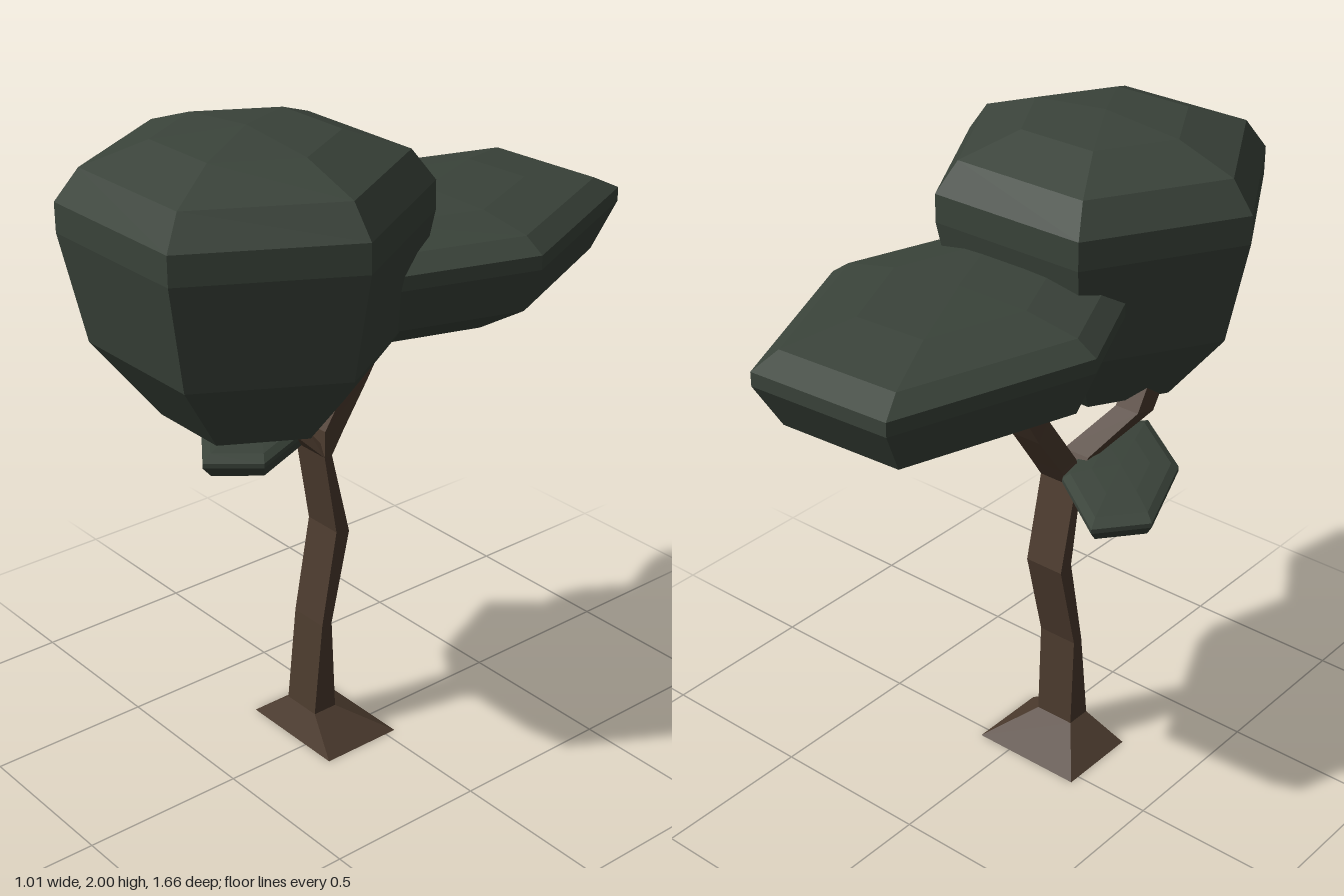
import * as THREE from 'three';

const bark = new THREE.MeshStandardMaterial({ color: 0x4c3b2e, flatShading: true });
const leaf = new THREE.MeshStandardMaterial({ color: 0x3a433a, flatShading: true });

// Four-sided limb; each ring is [xMin, xMax, zFront, yFront, zBack, yBack]
function limb(name, rings) {
  const pos = [];
  const corners = rings.map(([x0, x1, zf, yf, zb, yb]) => [
    [x0, yf, zf], [x1, yf, zf], [x1, yb, zb], [x0, yb, zb],
  ]);
  const quad = (a, b, c, d) => [a, b, c, a, c, d].forEach((p) => pos.push(...p));
  for (let i = 0; i < corners.length - 1; i++) {
    const lo = corners[i], hi = corners[i + 1];
    for (let k = 0; k < 4; k++) {
      const n = (k + 1) % 4;
      quad(lo[k], lo[n], hi[n], hi[k]);
    }
  }
  const [a, b, c, d] = corners[0];
  quad(d, c, b, a);
  quad(...corners[corners.length - 1]);
  const geo = new THREE.BufferGeometry();
  geo.setAttribute('position', new THREE.Float32BufferAttribute(pos, 3));
  geo.computeVertexNormals();
  const mesh = new THREE.Mesh(geo, bark);
  mesh.name = name;
  return mesh;
}

// Six-sided leaf mass: ring heights from bottom to top, with hexagon axes u and w as [x, z]
function canopy(name, [cx, cz], u, w, heights) {
  const radii = [0, 0.5, 0.866, 1, 1, 0.866, 0.5, 0];
  const profile = radii.map((r, i) => new THREE.Vector2(r, heights[i]));
  const geo = new THREE.LatheGeometry(profile, 6, Math.PI / 2);
  const basis = new THREE.Matrix4().makeBasis(
    new THREE.Vector3(u[0], 0, u[1]),
    new THREE.Vector3(0, 1, 0),
    new THREE.Vector3(w[0], 0, w[1]),
  );
  geo.applyMatrix4(basis);
  const mesh = new THREE.Mesh(geo, leaf);
  mesh.position.set(cx, 0, cz);
  mesh.name = name;
  return mesh;
}

export function createModel() {
  const tree = new THREE.Group();
  tree.name = 'tree';
  const L = -0.135, R = -0.005;

  // Trunk with flared foot and a bend
  tree.add(limb('trunk', [
    [-0.25, 0.115, 0.225, 0, -0.035, 0],
    [L, R, 0.183, 0.09, 0.103, 0.09],
    [L, R, 0.15, 0.39, 0.114, 0.39],
    [L, R, 0.093, 0.69, 0.045, 0.68],
    [L, R, 0.135, 0.95, 0.108, 0.95],
  ]));

  // Fork
  tree.add(limb('backBranch', [
    [L, R, 0.135, 0.95, 0.108, 0.95],
    [-0.12, -0.008, 0.13, 1.03, 0.06, 1.02],
    [-0.11, -0.01, 0.01, 1.21, -0.03, 1.15],
    [-0.11, -0.01, -0.12, 1.38, -0.16, 1.36],
  ]));
  tree.add(limb('frontBranch', [
    [L, R, 0.135, 0.95, 0.108, 0.95],
    [-0.14, -0.05, 0.2, 1.02, 0.16, 1.03],
    [-0.24, -0.16, 0.335, 1.15, 0.26, 1.17],
    [-0.24, -0.16, 0.4, 1.25, 0.32, 1.27],
  ]));

  // Leaf masses
  tree.add(canopy('topCanopy', [0, 0.39], [0.505, 0], [0, 0.505],
    [1.11, 1.19, 1.42, 1.735, 1.82, 1.91, 1.975, 2]));
  tree.add(canopy('backCanopy', [0, -0.238], [0.445, -0.027], [0.04, 0.668],
    [1.293, 1.327, 1.427, 1.565, 1.607, 1.648, 1.68, 1.69]));
  tree.add(canopy('lowCanopy', [-0.237, 0.19], [0.235, 0.165], [0.009, 0.251],
    [0.9, 0.91, 0.947, 0.99, 1.004, 1.018, 1.027, 1.031]));
  return tree;
}
